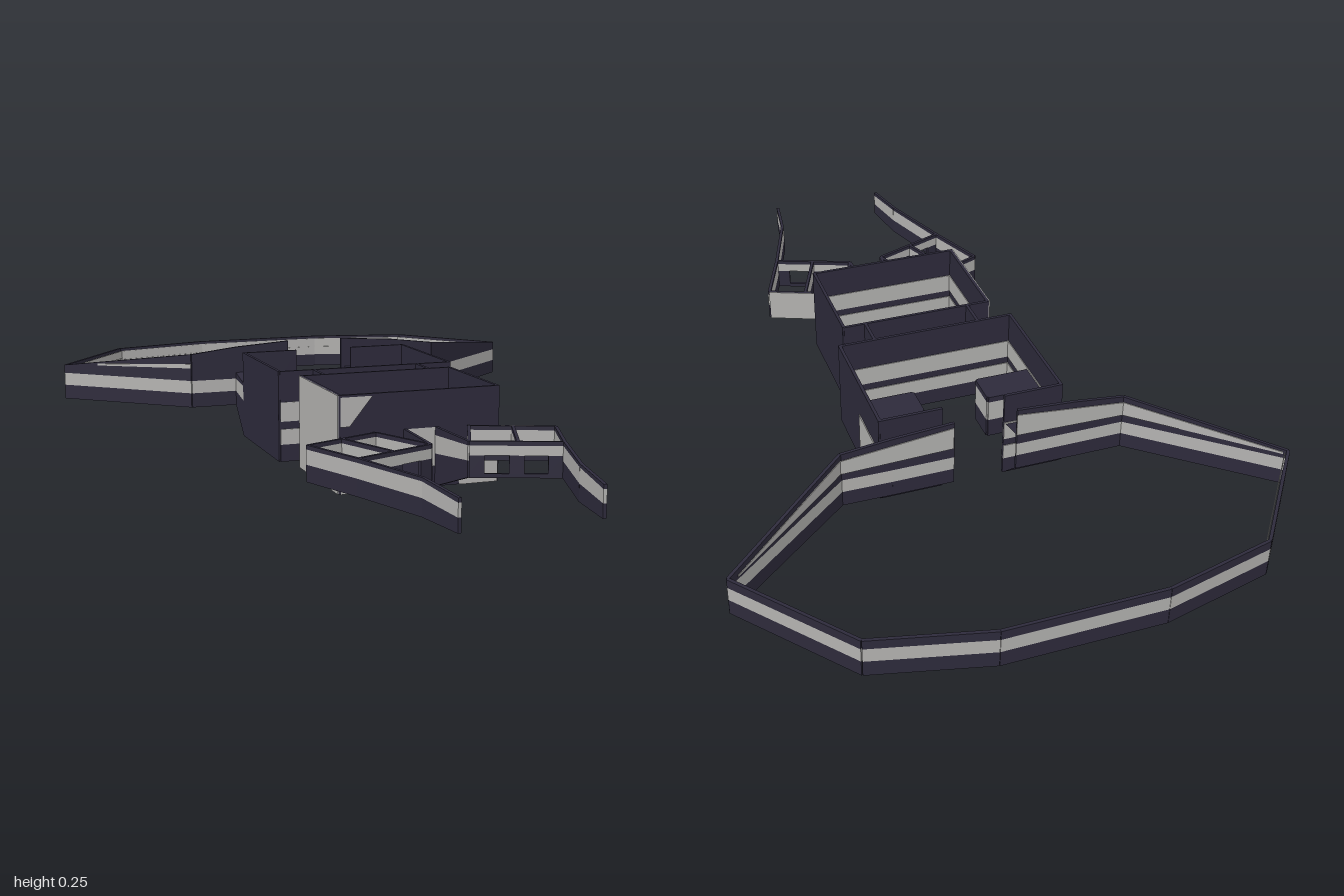
import * as THREE from 'three';

export function createModel() {
  const model = new THREE.Group();
  const mat = (name, color) => {
    const m = new THREE.MeshStandardMaterial({ color, side: THREE.DoubleSide });
    m.name = name;
    return m;
  };
  const dark = mat('dark navy', 0x2d2a3b);
  const grey = mat('light grey', 0xb3b2b0);
  const T = 0.008;

  // Upright slab between two plan points, with its own bottom and top height at each end
  function slab(name, material, a, b, t = T) {
    const len = Math.hypot(b[0] - a[0], b[1] - a[1]);
    const nx = -(b[1] - a[1]) / len, nz = (b[0] - a[0]) / len;
    const g = new THREE.BoxGeometry(1, 1, 1);
    const p = g.attributes.position;
    for (let i = 0; i < p.count; i++) {
      const e = p.getX(i) < 0 ? a : b, s = p.getZ(i) * t;
      p.setXYZ(i, e[0] + nx * s, p.getY(i) < 0 ? e[2] : e[3], e[1] + nz * s);
    }
    g.computeVertexNormals();
    const m = new THREE.Mesh(g, material);
    m.name = name;
    model.add(m);
  }

  // Ribbon wall in three bands; each point is [x, z, bottom, stripeBottom, stripeTop, top]
  function ribbon(name, pts) {
    for (let i = 0; i < pts.length - 1; i++) {
      [[2, 3, dark], [3, 4, grey], [4, 5, dark]].forEach(([lo, hi, m]) => {
        const end = q => [q[0], q[1], q[lo], q[hi]];
        slab(name, m, end(pts[i]), end(pts[i + 1]));
      });
    }
  }

  // Flat or sloped plate spanning x0..x1 from (z0, y0) to (z1, y1)
  function plate(name, material, x0, x1, z0, y0, z1, y1) {
    const g = new THREE.PlaneGeometry(1, 1);
    const p = g.attributes.position;
    for (let i = 0; i < 4; i++) {
      const f = p.getY(i) < 0;
      p.setXYZ(i, p.getX(i) < 0 ? x0 : x1, f ? y0 : y1, f ? z0 : z1);
    }
    g.computeVertexNormals();
    const m = new THREE.Mesh(g, material);
    m.name = name;
    model.add(m);
  }

  // Thin grey stripes between two plan points, one for each [bottom, top]
  function stripes(name, a, b, bands) {
    for (const [lo, hi] of bands) slab(name, grey, [...a, lo, hi], [...b, lo, hi], 0.002);
  }

  // Dark body wall with two stripes on each face listed by its outward direction
  function bodyWall(name, x0, z0, x1, z1, faces) {
    slab(name, dark, [x0, z0, 0, 0.235], [x1, z1, 0, 0.235]);
    for (const [dx, dz] of faces) {
      const ox = dx * 0.005, oz = dz * 0.005;
      stripes(name + 'Stripe', [x0 + ox, z0 + oz], [x1 + ox, z1 + oz], [[0.045, 0.085], [0.105, 0.155]]);
    }
  }
  const L = [-1, 0], R = [1, 0], F = [0, 1], B = [0, -1];

  // Rear loop
  const band = (x, z) => [x, z, 0.075, 0.115, 0.15, 0.173];
  const loop = [
    [-0.09, -0.396, 0.075, 0.115, 0.15, 0.25], [-0.24, -0.396, 0.075, 0.115, 0.15, 0.24],
    [-0.37, -0.396, 0.075, 0.115, 0.15, 0.225],
    band(-0.68, -0.66), band(-0.475, -0.93), band(-0.2, -0.996),
    band(0.185, -0.996), band(0.46, -0.93), band(0.677, -0.665),
    [0.35, -0.394, 0.075, 0.115, 0.15, 0.225], [0.225, -0.396, 0.075, 0.115, 0.15, 0.24],
    [0.07, -0.396, 0.075, 0.115, 0.15, 0.25],
  ];
  ribbon('rearLoop', loop);

  // Double stripe on the inside of the loop
  const inset = q => [q[0] * 0.986, -0.67 + (q[1] + 0.67) * 0.986];
  for (let i = 3; i < 8; i++) {
    stripes('loopInnerStripe', inset(loop[i]), inset(loop[i + 1]), [[0.112, 0.138], [0.142, 0.165]]);
  }

  // Grey wedges on the back of the loop's raised ends, fading out to the sides
  for (const s of [-1, 1]) {
    const x = v => s * v - 0.008;
    slab('loopWedge', grey, [x(0.08), -0.402, 0.178, 0.238], [x(0.36), -0.402, 0.172, 0.21], 0.002);
    slab('loopWedge', grey, [x(0.36), -0.402, 0.172, 0.21], [x(0.66), -0.657, 0.163, 0.168], 0.002);
  }
  slab('loopStreak', grey, [-0.373, -0.391, 0.186, 0.198], [-0.6, -0.585, 0.178, 0.183], 0.003);

  // Rear body
  bodyWall('rearBodySide', -0.24, -0.315, -0.24, 0.03, [R]);
  bodyWall('rearBodySide', 0.228, -0.315, 0.228, 0.03, [L]);
  bodyWall('rearBodyFront', -0.24, 0.028, 0.228, 0.028, [F, B]);
  bodyWall('rearBodyBack', -0.24, -0.312, -0.09, -0.312, [F, B]);
  bodyWall('rearBodyBack', 0.07, -0.312, 0.228, -0.312, [F, B]);
  slab('sidePanel', grey, [0.233, -0.312, 0, 0.145], [0.233, -0.155, 0, 0.145], 0.003);

  // Inner blocks and loop ramps on each side
  [[-0.24, -0.095, -0.24], [0.08, 0.228, 0.228]].forEach(([x0, x1, outer]) => {
    const inner = outer < 0 ? x1 : x0;
    const b = (x, z) => [x, z, 0.03, 0.08, 0.135, 0.15];
    ribbon('innerBlock', [b(outer, -0.195), b(inner, -0.195), b(inner, -0.115), b(outer, -0.115)]);
    plate('innerBlockTop', dark, x0, x1, -0.115, 0.15, -0.195, 0.15);
    plate('loopRamp', dark, x0, x1, -0.315, 0, -0.395, 0.075);
    plate('loopRampTop', dark, x0, x1, -0.315, 0.15, -0.395, 0.168);
    ribbon('loopRampSide', [[outer, -0.315, 0, 0.1, 0.142, 0.15], [outer, -0.395, 0.075, 0.115, 0.15, 0.168]]);
  });

  // Waist joint
  for (const x of [-0.148, 0.135]) slab('waistSide', dark, [x, 0.03, 0, 0.235], [x, 0.11, 0, 0.235]);
  slab('waistSliver', grey, [0.141, 0.034, 0, 0.145], [0.141, 0.043, 0, 0.145], 0.003);
  plate('waistTop', dark, -0.148, -0.065, 0.11, 0.15, 0.03, 0.15);
  plate('waistTop', dark, 0, 0.135, 0.11, 0.15, 0.03, 0.15);
  plate('waistPanel', grey, -0.065, 0, 0.11, 0.15, 0.03, 0.15);

  // Front body
  bodyWall('frontBodySide', -0.207, 0.108, -0.207, 0.405, [R]);
  bodyWall('frontBodySide', 0.194, 0.108, 0.194, 0.405, [L]);
  bodyWall('frontBodyBack', -0.207, 0.11, 0.194, 0.11, [F, B]);
  bodyWall('frontBodyFront', -0.207, 0.402, 0.194, 0.402, [B]);
  slab('leftPanel', grey, [-0.212, 0.108, 0, 0.235], [-0.212, 0.405, 0, 0.235], 0.003);

  // Grey facets on the front wall, each a flat outline
  [
    [[-0.04, 0.05], [0.03, 0.05], [0.03, 0.145], [-0.04, 0.145]],
    [[-0.207, 0], [-0.09, 0], [-0.13, 0.055], [-0.207, 0.055]],
    [[0.095, 0], [0.194, 0], [0.194, 0.055], [0.07, 0.055]],
    [[-0.207, 0.16], [-0.185, 0.16], [-0.128, 0.23], [-0.207, 0.23]],
  ].forEach(outline => {
    const shape = new THREE.Shape(outline.map(([x, y]) => new THREE.Vector2(x, y)));
    const m = new THREE.Mesh(new THREE.ShapeGeometry(shape), grey);
    m.position.z = 0.409;
    m.name = 'frontPanel';
    model.add(m);
  });

  // Arms, framed claws and fingers, mirrored about a slightly offset midline
  for (const s of [-1, 1]) {
    const X = x => s * x - 0.005;
    const c = (x, z, top = 0.145) => [X(x), z, 0.06, 0.1, 0.135, top];
    ribbon('arm', [[X(0.04), 0.405, 0, 0.08, 0.125, 0.145], c(0.047, 0.58)]);
    ribbon('clawSide', [c(0.31, 0.495), c(0.248, 0.658)]);
    ribbon('clawSide', [c(0.118, 0.417), c(0.047, 0.58)]);
    ribbon('clawDivider', [c(0.216, 0.455), c(0.15, 0.62)]);
    ribbon('clawBack', [c(0.118, 0.417), c(0.31, 0.495)]);
    if (s > 0) {
      slab('clawBackPanel', grey, [X(0.118), 0.412, 0.06, 0.145], [X(0.31), 0.49, 0.06, 0.145], 0.003);
    }

    // Claw front: rails and posts around two openings
    const at = (t, lo, hi) => [X(0.248 - 0.201 * t), 0.658 - 0.078 * t, lo, hi];
    slab('clawFrontRail', dark, at(0, 0.06, 0.07), at(1, 0.06, 0.07));
    slab('clawFrontRail', grey, at(0, 0.112, 0.135), at(1, 0.112, 0.135));
    slab('clawFrontRail', dark, at(0, 0.135, 0.145), at(1, 0.135, 0.145));
    for (const [t0, t1] of [[0, 0.17], [0.42, 0.58], [0.84, 1]]) {
      slab('clawFrontPost', dark, at(t0, 0.07, 0.112), at(t1, 0.07, 0.112));
    }

    // Fingers
    ribbon('finger', [c(0.248, 0.658), c(0.18, 0.862, 0.143), [X(0.16), 1, 0.06, 0.092, 0.122, 0.132]]);
  }
  return model;
}
